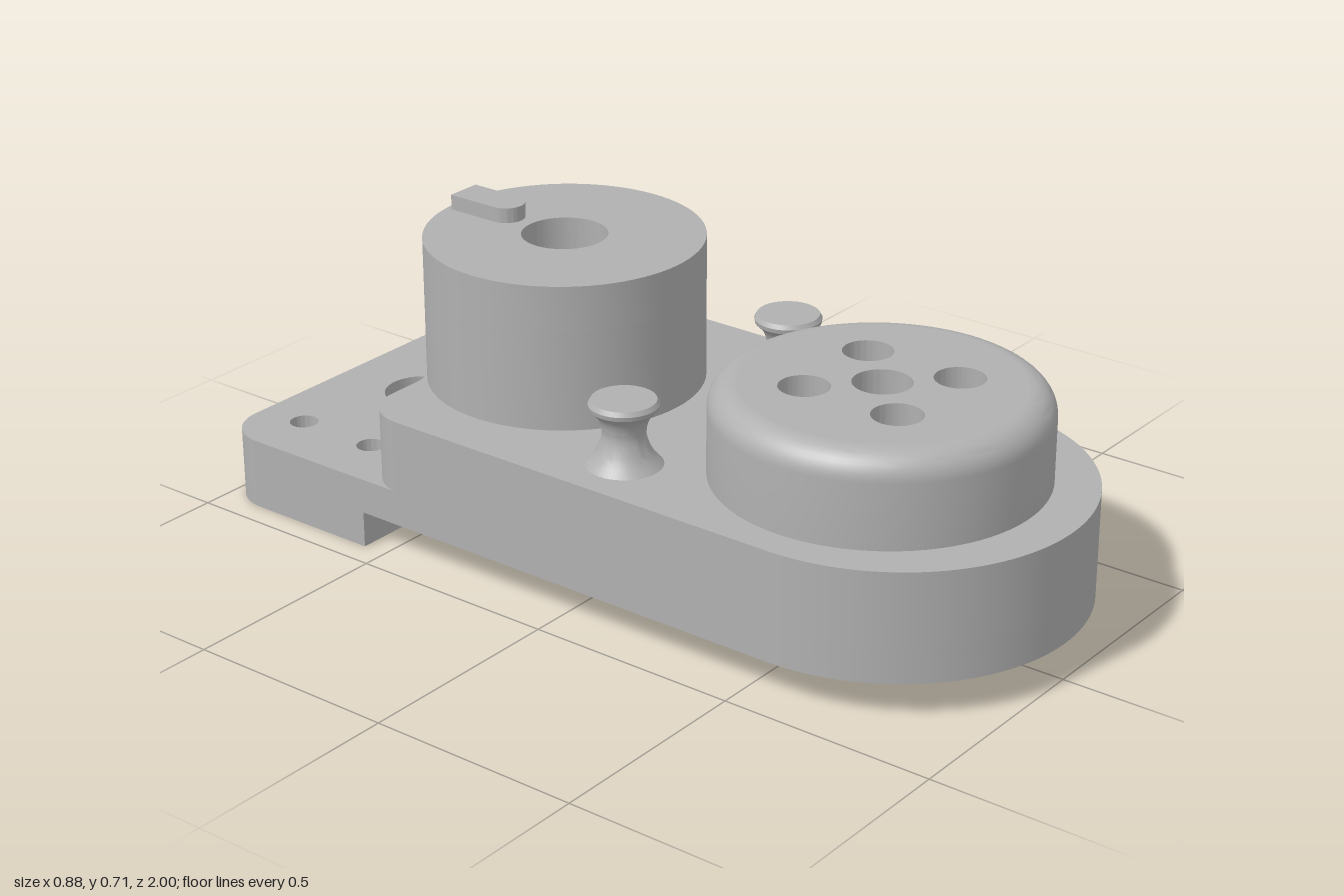
import * as THREE from 'three';
import { toCreasedNormals } from 'three/addons/utils/BufferGeometryUtils.js';

// Plan shapes use (x, -z): shape "up" points to the back of the model.
const W = 0.44, CORNER = 0.11, STEP = 0.56;
const TOWER = { y: 0.328, r: 0.316, bore: 0.282 };
const DOME = { y: -0.53, r: 0.367, bore: 0.25, fillet: 0.06 };
const Y = { belly: 0.085, ledge: 0.167, deck: 0.338, domeTop: 0.547, towerTop: 0.675, keyTop: 0.71 };

export function createModel() {
  const model = new THREE.Group();
  model.name = 'housing';
  const grey = new THREE.MeshStandardMaterial({ color: 0xb0b0b0 });
  grey.name = 'plain grey';

  const add = (name, geometry) => {
    const mesh = new THREE.Mesh(toCreasedNormals(geometry, 0.5), grey);
    mesh.name = name;
    model.add(mesh);
    return mesh;
  };
  // Extrude a plan shape vertically between two heights
  const slab = (name, shape, y0, y1) => {
    const g = new THREE.ExtrudeGeometry(shape, { depth: y1 - y0, bevelEnabled: false, curveSegments: 40 });
    g.rotateX(-Math.PI / 2);
    g.translate(0, y0, 0);
    return add(name, g);
  };
  const disc = (x, y, r) => new THREE.Shape().absarc(x, y, r, 0, Math.PI * 2, false);
  const drill = (shape, holes) => {
    for (const [x, y, r] of holes) shape.holes.push(new THREE.Path().absarc(x, y, r, 0, Math.PI * 2, true));
    return shape;
  };
  // Rounded back corners, drawn right to left
  const backCorners = (s, backY) => {
    s.absarc(W - CORNER, backY - CORNER, CORNER, 0, Math.PI / 2, false);
    s.absarc(-W + CORNER, backY - CORNER, CORNER, Math.PI / 2, Math.PI, false);
  };

  const bores = [[0, TOWER.y, TOWER.bore], [0, DOME.y, DOME.bore]];
  const footHoles = [[0, 0.78, 0.086]];
  for (const x of [-0.295, 0.295]) for (const y of [0.668, 0.878]) footHoles.push([x, y, 0.033]);

  // Mounting foot, its front edge notched by the rear bore
  const foot = new THREE.Shape();
  foot.moveTo(W, STEP);
  backCorners(foot, 1);
  foot.lineTo(-W, STEP);
  const notch = Math.asin((STEP - TOWER.y) / TOWER.bore);
  foot.absarc(0, TOWER.y, TOWER.bore, Math.PI - notch, notch, true);
  foot.lineTo(W, STEP);
  slab('mountingFoot', drill(foot, footHoles), 0, Y.belly);

  // Lower body layer, running the full length
  const lower = new THREE.Shape();
  lower.moveTo(W, -0.56);
  backCorners(lower, 1);
  lower.lineTo(-W, -0.56);
  lower.absarc(0, -0.56, W, Math.PI, Math.PI * 2, false);
  slab('lowerBody', drill(lower, [...bores, ...footHoles]), Y.belly, Y.ledge);

  // Upper body layer, blended into the tower with concave fillets
  const f = 0.1, fy = STEP + f;
  const fx = Math.sqrt((TOWER.r + f) ** 2 - (fy - TOWER.y) ** 2);
  const a = Math.atan2(fy - TOWER.y, fx);
  const upper = new THREE.Shape();
  upper.moveTo(W, -0.56);
  upper.absarc(W - CORNER, STEP - CORNER, CORNER, 0, Math.PI / 2, false);
  upper.absarc(fx, fy, f, -Math.PI / 2, a - Math.PI, true);
  upper.absarc(0, TOWER.y, TOWER.r, a, Math.PI - a, false);
  upper.absarc(-fx, fy, f, -a, -Math.PI / 2, true);
  upper.absarc(-W + CORNER, STEP - CORNER, CORNER, Math.PI / 2, Math.PI, false);
  upper.lineTo(-W, -0.56);
  upper.absarc(0, -0.56, W, Math.PI, Math.PI * 2, false);
  slab('upperBody', drill(upper, bores), Y.ledge, Y.deck);

  // Rear tower: hollow wall and drilled cap
  const towerCapY = 0.57;
  slab('towerWall', drill(disc(0, TOWER.y, TOWER.r), [bores[0]]), Y.deck, towerCapY);
  slab('towerCap', drill(disc(0, TOWER.y, TOWER.r), [[0, TOWER.y, 0.097]]), towerCapY, Y.towerTop);

  // Key on the tower, round at its inner end
  const k = 0.042;
  const key = new THREE.Shape();
  key.moveTo(k, 0.626);
  key.lineTo(-k, 0.626);
  key.absarc(0, 0.455 + k, k, Math.PI, Math.PI * 2, false);
  key.lineTo(k, 0.626);
  slab('towerKey', key, Y.towerTop, Y.keyTop);

  // Front dome: hollow wall with a rounded shoulder, and a drilled cap
  const domeCapY = 0.46, rim = DOME.r - DOME.fillet;
  const profile = [new THREE.Vector2(DOME.r, Y.deck)];
  for (let i = 0; i <= 10; i++) {
    const t = (i / 10) * Math.PI / 2;
    profile.push(new THREE.Vector2(rim + DOME.fillet * Math.cos(t), Y.domeTop - DOME.fillet + DOME.fillet * Math.sin(t)));
  }
  profile.push(new THREE.Vector2(DOME.bore, domeCapY), new THREE.Vector2(DOME.bore, Y.deck));
  add('domeWall', new THREE.LatheGeometry(profile, 80)).position.z = -DOME.y;
  const domeHoles = [[0, DOME.y, 0.065]];
  for (const dx of [-0.117, 0.117]) for (const dy of [-0.117, 0.117]) domeHoles.push([dx, DOME.y + dy, 0.056]);
  slab('domeCap', drill(disc(0, DOME.y, rim), domeHoles), domeCapY, Y.domeTop);

  // Waisted posts either side
  const waist = new THREE.SplineCurve([[0.085, 0.338], [0.063, 0.365], [0.049, 0.4], [0.049, 0.425], [0.058, 0.45], [0.075, 0.468]]
    .map(([r, y]) => new THREE.Vector2(r, y))).getPoints(16);
  const post = [...waist, ...[[0.077, 0.478], [0.071, 0.488], [0, 0.488]].map(([r, y]) => new THREE.Vector2(r, y))];
  for (const [name, x] of [['leftPost', 0.295], ['rightPost', -0.295]]) {
    add(name, new THREE.LatheGeometry(post, 40)).position.set(x, 0, 0.075);
  }
  return model;
}
